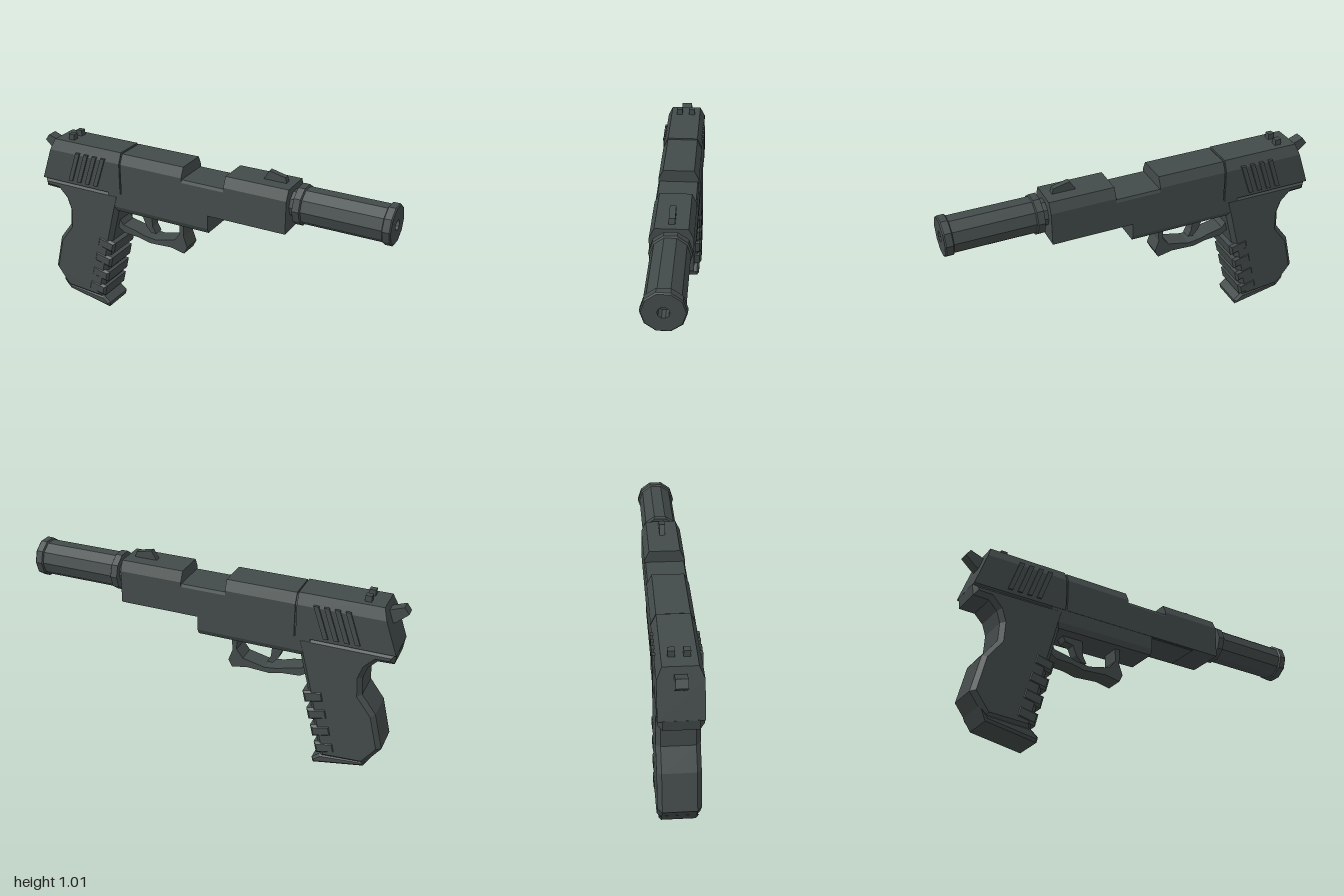
import * as THREE from 'three';

const gunmetal = new THREE.MeshStandardMaterial({ color: 0x434b4a, flatShading: true });
gunmetal.name = 'gunmetal';

const outline = (pts) => new THREE.Shape(pts.map(([x, y]) => new THREE.Vector2(x, y)));

// Side outline (x, y) given thickness about z, with optional chamfered edges
function plate(pts, half, bevel = 0, z = 0) {
  const g = new THREE.ExtrudeGeometry(outline(pts), {
    depth: 2 * (half - bevel), bevelEnabled: bevel > 0, bevelSegments: 1,
    bevelSize: bevel, bevelThickness: bevel, bevelOffset: -bevel,
  });
  return g.translate(0, 0, z - half + bevel);
}

// Symmetric cross-section, given as (half width, y) from bottom to top, run along x
function bar(half, x0, x1) {
  const pts = [...half, ...half.slice().reverse().map(([w, y]) => [-w, y])];
  const g = new THREE.ExtrudeGeometry(outline(pts), { depth: x1 - x0, bevelEnabled: false });
  return g.rotateY(Math.PI / 2).translate(x0, 0, 0);
}

// Ten-sided turned part along x; profile is (radius, x)
function turned(profile) {
  const g = new THREE.LatheGeometry(profile.map(([r, x]) => new THREE.Vector2(r, x)), 10);
  return g.rotateZ(-Math.PI / 2).translate(0, 0.865, 0);
}

export function createModel() {
  const model = new THREE.Group();
  model.name = 'pistol';
  const add = (name, geometry) => {
    const mesh = new THREE.Mesh(geometry, gunmetal);
    mesh.name = name;
    model.add(mesh);
    return mesh;
  };

  // Slide: slanted rear, middle, lowered ejection port and front
  const section = (top) => [[0.105, 0.735], [0.105, 0.91], [0.08, top]];
  const rear = bar(section(0.966), -0.975, -0.474);
  const p = rear.attributes.position;
  for (let i = 0; i < p.count; i++) {
    if (p.getX(i) < -0.9) p.setX(i, -0.975 + (p.getY(i) - 0.735) * 0.35);
  }
  add('slideRear', rear);
  add('slideGroove', bar([[0.098, 0.735], [0.098, 0.905], [0.074, 0.955]], -0.48, -0.46));
  add('slideMiddle', bar(section(0.962), -0.466, -0.1));
  add('ejectionPort', bar([[0.105, 0.735], [0.105, 0.885], [0.098, 0.9]], -0.1, 0.14));
  add('slideFront', bar(section(0.962), 0.14, 0.48));

  // Slanted grip ribs on both sides of the slide
  for (const side of [-1, 1]) {
    for (let i = 0; i < 4; i++) {
      const x = -0.745 + i * 0.053;
      add('slideRib', plate([[x - 0.055, 0.755], [x - 0.03, 0.755], [x + 0.027, 0.922], [x + 0.002, 0.922]],
        0.012, 0, side * 0.101));
    }
  }

  // Frame under the slide
  add('frame', bar([[0.088, 0.632], [0.103, 0.66], [0.103, 0.74]], -0.55, 0.05));
  add('dustCover', bar([[0.095, 0.73], [0.1, 0.74]], 0.05, 0.32));

  // Grip with rear tang
  add('grip', plate([
    [-0.975, 0.737], [-0.967, 0.68], [-0.885, 0.677], [-0.84, 0.63], [-0.82, 0.57], [-0.825, 0.475],
    [-0.9, 0.375], [-0.947, 0.18], [-0.865, 0.07], [-0.635, 0.055], [-0.6, 0.2], [-0.545, 0.45],
    [-0.495, 0.65], [-0.475, 0.737],
  ], 0.104, 0.022));
  add('gripBase', plate([
    [-0.9, 0.115], [-0.86, 0.052], [-0.595, 0.002], [-0.588, 0.03], [-0.63, 0.065], [-0.85, 0.085],
  ], 0.095, 0.012));

  // Raised bands around the front of the grip
  for (let i = 0; i < 4; i++) {
    const y = 0.41 - i * 0.097;
    const band = add('gripBand', plate([
      [-0.06, -0.033], [0.048, -0.033], [0.048, 0.033], [-0.06, 0.033],
    ], 0.108, 0.012));
    band.position.set(-0.577 - i * 0.025, y, 0);
    band.rotation.z = -0.23;
  }

  // Trigger and its guard
  add('triggerGuard', plate([
    [-0.54, 0.515], [-0.49, 0.483], [-0.4, 0.477], [-0.33, 0.46], [-0.2, 0.467], [-0.12, 0.45],
    [-0.1, 0.49], [-0.122, 0.55], [-0.118, 0.64], [-0.147, 0.64], [-0.145, 0.56], [-0.18, 0.515],
    [-0.3, 0.488], [-0.37, 0.497], [-0.42, 0.513], [-0.5, 0.53], [-0.52, 0.56],
  ], 0.05));
  add('trigger', plate([
    [-0.45, 0.64], [-0.43, 0.605], [-0.385, 0.595], [-0.365, 0.545], [-0.335, 0.512], [-0.305, 0.512],
    [-0.325, 0.55], [-0.333, 0.64],
  ], 0.028));

  // Hammer and sights
  add('hammer', plate([
    [-1, 0.925], [-0.975, 0.958], [-0.9, 0.93], [-0.9, 0.85], [-0.945, 0.875],
  ], 0.028));
  add('frontSight', plate([[0.31, 0.95], [0.345, 1.01], [0.432, 0.99], [0.442, 0.95]], 0.015));
  for (const side of [-1, 1]) {
    add('rearSight', plate([[-0.823, 0.95], [-0.79, 0.95], [-0.79, 0.997], [-0.823, 0.997]],
      0.016, 0, side * 0.035));
  }

  // Muzzle tube with end rings and a bore
  add('muzzleNeck', turned([[0, 0.46], [0.07, 0.46], [0.07, 0.53], [0, 0.53]]));
  add('muzzleTube', turned([
    [0, 0.508], [0.103, 0.508], [0.103, 0.543], [0.094, 0.548], [0.094, 0.955], [0.103, 0.96],
    [0.103, 0.994], [0.097, 1], [0.028, 1], [0.028, 0.94], [0, 0.94],
  ]));
  return model;
}
